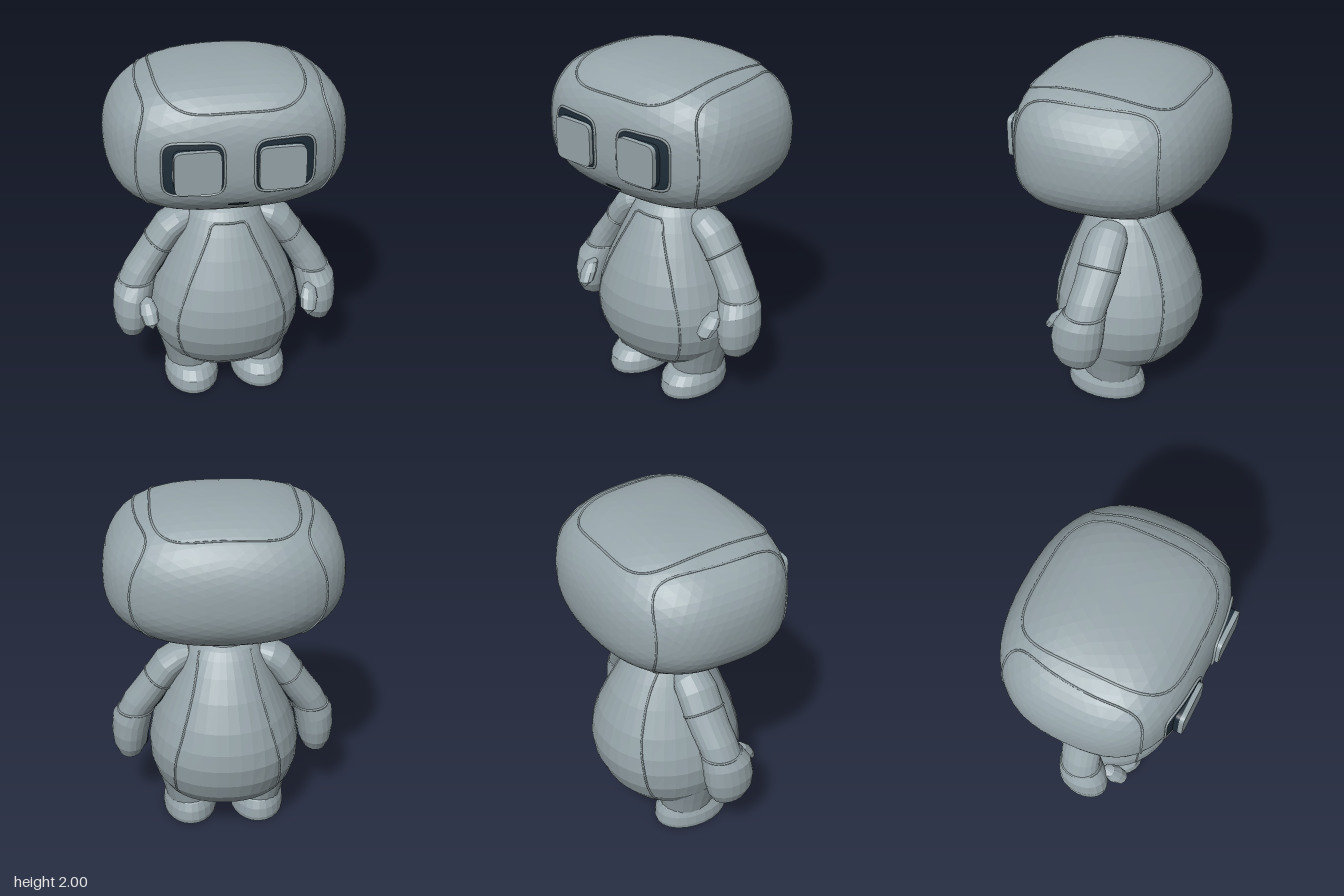
import * as THREE from 'three';

const V = (x, y, z) => new THREE.Vector3(x, y, z);
const shell = new THREE.MeshStandardMaterial({ color: 0x96a4a9 });
shell.name = 'greyShell';
const dark = new THREE.MeshStandardMaterial({ color: 0x1e2d38 });
dark.name = 'darkRecess';

export function createModel() {
  const model = new THREE.Group();
  model.name = 'bigHeadedRobot';

  function add(name, geometry, material = shell) {
    const mesh = new THREE.Mesh(geometry, material);
    mesh.name = name;
    model.add(mesh);
    return mesh;
  }

  // Faceted skin over a list of closed loops of equal length
  function loft(loops) {
    const n = loops[0].length, index = [];
    for (let i = 0; i < loops.length - 1; i++)
      for (let j = 0; j < n; j++) {
        const k = (j + 1) % n, a = i * n, b = a + n;
        index.push(a + j, a + k, b + k, a + j, b + k, b + j);
      }
    const g = new THREE.BufferGeometry().setFromPoints(loops.flat());
    g.setIndex(index);
    const flat = g.toNonIndexed();
    flat.computeVertexNormals();
    return flat;
  }

  // Rounded rectangle as [u, v] pairs, counter-clockwise
  function roundRect(cu, cv, hu, hv, power = 4, n = 48) {
    const p = (c) => Math.sign(c) * Math.abs(c) ** (2 / power);
    return Array.from({ length: n }, (_, i) => {
      const t = (i / n) * Math.PI * 2;
      return [cu + hu * p(Math.cos(t)), cv + hv * p(Math.sin(t))];
    });
  }

  // Point where a ray from inside leaves the solid f < 1
  function cast(f, from, dir) {
    let lo = 0, hi = 1.2;
    for (let i = 0; i < 30; i++) {
      const mid = (lo + hi) / 2;
      if (f(from.clone().addScaledVector(dir, mid)) < 1) lo = mid; else hi = mid;
    }
    return from.clone().addScaledVector(dir, lo);
  }

  function seam(name, pts, closed = true, r = 0.006) {
    const curve = new THREE.CatmullRomCurve3(pts, closed);
    return add(name, new THREE.TubeGeometry(curve, 90, r, 5, closed));
  }

  // Head: squashed super-ellipsoid, taller above its widest line, boxier towards the face
  const HY = 1.575, HZ = -0.015;
  const headF = (p) => {
    const z = (p.z - HZ) / 0.525, y = p.y - HY;
    const n = 2.45 + 0.45 * THREE.MathUtils.smoothstep(z, -0.2, 0.8);
    return Math.abs(p.x / 0.652) ** n + Math.abs(y / (y > 0 ? 0.425 : 0.355)) ** n + Math.abs(z) ** n;
  };
  const headGeo = new THREE.IcosahedronGeometry(1, 10);
  const pos = headGeo.attributes.position;
  for (let i = 0; i < pos.count; i++) {
    const d = V(pos.getX(i) * 0.65, pos.getY(i) * 0.39, pos.getZ(i) * 0.525);
    const q = cast(headF, V(0, HY, HZ), d.multiplyScalar(1.4));
    pos.setXYZ(i, q.x, q.y, q.z);
  }
  headGeo.computeVertexNormals();
  add('head', headGeo);

  // Head panel seams
  seam('crownSeam', roundRect(0, 0.02, 0.39, 0.43).map(([x, z]) =>
    cast(headF, V(x, HY, z), V(0, 1, 0))));
  for (const s of [1, -1])
    seam('sidePanelSeam', roundRect(0, 1.595, 0.395, 0.315).map(([z, y]) =>
      cast(headF, V(0, y, z), V(s, 0, 0))));

  // Eyes: dark socket hugging the face, slim rim, dark mount and square lens
  const onFace = (lift) => ([x, y]) => cast(headF, V(x, y, 0), V(0, 0, 1)).add(V(0, 0, lift));
  for (const s of [1, -1]) {
    const socket = [1, 0.85, 0.68].map((k) =>
      roundRect(s * 0.235, 1.58, 0.158 * k, 0.146 * k, 5).map(onFace(0.006)));
    add('eyeSocket', loft(socket), dark);
    seam('eyeRim', socket[0], true, 0.007);
    const outline = roundRect(s * 0.217, 1.575, 0.121, 0.117, 7).map(([x, y]) => new THREE.Vector2(x, y));
    const block = (depth) =>
      new THREE.ExtrudeGeometry(new THREE.Shape(outline), { depth, bevelEnabled: false });
    add('eyeMount', block(0.07), dark).position.z = 0.442;
    add('eyeLens', block(0.025)).position.z = 0.512;
  }
  const mouth = [1, 0.5, 0.02].map((k) => roundRect(0, 1.355, 0.055 * k, 0.012 * k, 3, 24).map(onFace(0.006)));
  add('mouth', loft(mouth), dark);

  // Neck
  add('neck', new THREE.CylinderGeometry(0.14, 0.145, 0.16, 28).translate(0, 1.19, -0.015));

  // Pear-shaped body: rows of y, half width, front depth, back depth
  const rows = [
    [0.15, 0.01, 0.01, 0.01], [0.16, 0.19, 0.16, 0.18], [0.19, 0.27, 0.23, 0.25],
    [0.25, 0.35, 0.3, 0.335], [0.32, 0.395, 0.345, 0.39], [0.42, 0.425, 0.38, 0.432],
    [0.53, 0.43, 0.39, 0.45], [0.63, 0.41, 0.38, 0.442], [0.75, 0.368, 0.348, 0.41],
    [0.9, 0.3, 0.29, 0.345], [1.02, 0.245, 0.236, 0.275], [1.1, 0.205, 0.195, 0.222],
    [1.14, 0.175, 0.165, 0.185], [1.165, 0.13, 0.13, 0.15], [1.17, 0.01, 0.01, 0.01]];
  const N = 2.15;
  const bodyF = (p) => {
    const i = Math.max(1, rows.findIndex((r) => r[0] >= p.y));
    const a = rows[i - 1], b = rows[i], t = (p.y - a[0]) / (b[0] - a[0]);
    const [, w, f, k] = a.map((v, j) => v + (b[j] - v) * t);
    return Math.abs(p.x / w) ** N + Math.abs(p.z / (p.z > 0 ? f : k)) ** N;
  };
  add('body', loft(rows.map(([y]) => Array.from({ length: 40 }, (_, j) => {
    const t = (j / 40) * Math.PI * 2;
    return cast(bodyF, V(0, y, 0), V(Math.sin(t), 0, Math.cos(t)));
  }))));

  // Belly panel and flank seams
  const half = [[0.03, 1.09], [0.09, 1.085], [0.12, 1.02], [0.17, 0.91], [0.22, 0.8], [0.265, 0.68],
    [0.295, 0.58], [0.305, 0.48], [0.29, 0.37], [0.25, 0.28], [0.18, 0.215], [0.09, 0.19], [0.03, 0.187]];
  const belly = [...half, ...half.map(([x, y]) => [-x, y]).reverse()];
  seam('bellySeam', belly.map(([x, y]) => cast(bodyF, V(x, y, 0), V(0, 0, 1))));
  const flank = [[1.13, -0.13], [1.04, -0.2], [0.95, -0.25], [0.8, -0.31], [0.68, -0.34],
    [0.55, -0.345], [0.42, -0.325], [0.3, -0.27], [0.2, -0.18]];
  for (const s of [1, -1])
    seam('flankSeam', flank.map(([y, z]) => cast(bodyF, V(0, y, z), V(s, 0, 0))), false);

  // Loops across a limb; stations are x, y, z, in-plane radius, depth radius, optional sideways lean
  function limbLoops(stations, s, n = 20) {
    return stations.map(([x, y, z, r, d, lean], i) => {
      const a = stations[Math.max(0, i - 1)], b = stations[Math.min(stations.length - 1, i + 1)];
      const t = (lean === undefined ? V(s * (b[0] - a[0]), b[1] - a[1], 0) : V(s * lean, -1, 0)).normalize();
      return Array.from({ length: n }, (_, j) => {
        const q = (j / n) * Math.PI * 2, c = r * Math.cos(q);
        return V(s * x - t.y * c, y + t.x * c, z + d * Math.sin(q));
      });
    });
  }

  const arm = [
    [0.15, 1.07, -0.01, 0.002, 0.002], [0.19, 1.065, -0.01, 0.06, 0.08], [0.25, 1.045, -0.01, 0.083, 0.112],
    [0.31, 1.0, -0.01, 0.09, 0.12], [0.372, 0.91, -0.008, 0.087, 0.12], [0.43, 0.82, 0, 0.09, 0.115],
    [0.475, 0.755, 0.01, 0.096, 0.115, 0.3], [0.505, 0.695, 0.02, 0.103, 0.115, 0]];
  const hand = [
    [0.505, 0.715, 0.02, 0.002, 0.002, 0], [0.505, 0.695, 0.025, 0.105, 0.122, 0], [0.53, 0.62, 0.045, 0.112, 0.145],
    [0.542, 0.53, 0.055, 0.108, 0.15], [0.545, 0.45, 0.06, 0.096, 0.138], [0.545, 0.39, 0.06, 0.07, 0.105],
    [0.542, 0.358, 0.06, 0.04, 0.06], [0.54, 0.348, 0.06, 0.002, 0.002]];
  const thumb = [
    [0.47, 0.64, 0.15, 0.002, 0.002], [0.468, 0.625, 0.18, 0.038, 0.035], [0.46, 0.58, 0.215, 0.052, 0.045],
    [0.45, 0.53, 0.25, 0.045, 0.038], [0.445, 0.495, 0.27, 0.002, 0.002]];
  const leg = [
    [0.205, 0.42, 0, 0.14, 0.2], [0.226, 0.32, 0, 0.172, 0.215], [0.212, 0.22, 0, 0.152, 0.19],
    [0.2, 0.1, 0, 0.135, 0.165]];
  const foot = [
    [0.2, 0.155, 0, 0.002, 0.002], [0.2, 0.15, 0, 0.105, 0.15], [0.2, 0.13, 0.015, 0.137, 0.195],
    [0.2, 0.085, 0.028, 0.155, 0.228], [0.2, 0.03, 0.03, 0.16, 0.236], [0.2, 0.005, 0.03, 0.157, 0.23],
    [0.2, 0, 0.03, 0.002, 0.002]];
  // Dark linings that just break through the inner side of the forearm and palm
  const armLining = [
    [0.325, 0.92, -0.005, 0.002, 0.002], [0.345, 0.885, -0.005, 0.062, 0.075],
    [0.395, 0.805, 0, 0.064, 0.075], [0.435, 0.745, 0.01, 0.06, 0.07], [0.45, 0.72, 0.01, 0.002, 0.002]];
  const palmLining = [
    [0.52, 0.56, 0.05, 0.002, 0.002], [0.522, 0.51, 0.05, 0.086, 0.08], [0.523, 0.45, 0.055, 0.083, 0.08],
    [0.526, 0.41, 0.06, 0.06, 0.06], [0.53, 0.4, 0.06, 0.002, 0.002]];

  // Arms, hands, legs and feet, mirrored
  for (const s of [1, -1]) {
    const side = s > 0 ? 'left' : 'right';
    const armLoops = limbLoops(arm, s);
    add(side + 'Arm', loft(armLoops));
    seam(side + 'SleeveSeam', armLoops[4]);
    seam(side + 'WristSeam', armLoops[7], true, 0.007);
    add(side + 'ArmLining', loft(limbLoops(armLining, s)), dark);
    add(side + 'Hand', loft(limbLoops(hand, s)));
    add(side + 'PalmLining', loft(limbLoops(palmLining, s)), dark);
    add(side + 'Thumb', loft(limbLoops(thumb, s, 10)));
    add(side + 'Leg', loft(limbLoops(leg, s)));
    add(side + 'Foot', loft(limbLoops(foot, s, 24)));
  }
  return model;
}
